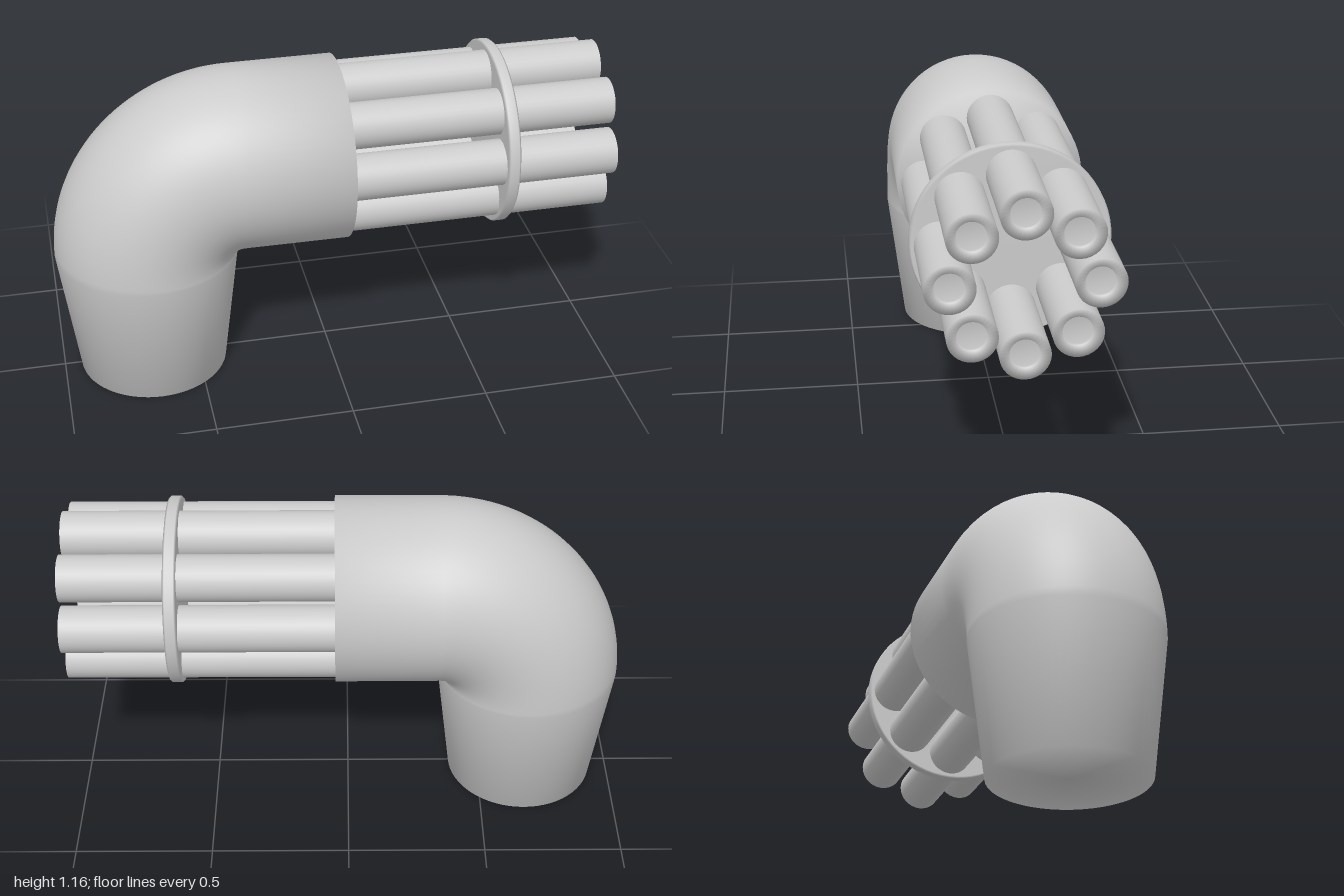
import * as THREE from 'three';

const material = new THREE.MeshStandardMaterial({ color: 0xcccccc });
const AXIS_Y = 0.825; // height of the barrel axis
const ARM_R = 0.335;
const ARM_END = 0.046;

function named(name, geometry) {
  const mesh = new THREE.Mesh(geometry, material);
  mesh.name = name;
  return mesh;
}

// Lathe turned to lie along +x; profile given as [radius, x]
function latheX(profile, segments) {
  const points = profile.map(([r, x]) => new THREE.Vector2(r, x));
  return new THREE.LatheGeometry(points, segments).rotateZ(-Math.PI / 2);
}

// Bent arm: round cross-sections swept from the tapered foot through a 90 degree elbow,
// closed at both ends with softly shaded caps
function armGeometry() {
  const sides = 64, bendSteps = 32;
  const pivot = new THREE.Vector2(-0.33, AXIS_Y - ARM_R);
  const rings = [];
  const addRing = (x, y, r, angle) => rings.push({ x, y, r, nx: -Math.cos(angle), ny: Math.sin(angle) });
  addRing(-0.664, 0, 0, 0);
  addRing(-0.664, 0, 0.273, 0);
  for (let i = 0; i <= bendSteps; i++) {
    const a = (i / bendSteps) * Math.PI / 2;
    addRing(pivot.x - ARM_R * Math.cos(a), pivot.y + ARM_R * Math.sin(a), ARM_R - 0.001, a);
  }
  addRing(ARM_END, AXIS_Y, ARM_R, Math.PI / 2);
  addRing(ARM_END, AXIS_Y, 0, Math.PI / 2);

  const positions = [], index = [];
  rings.forEach(({ x, y, r, nx, ny }, i) => {
    for (let j = 0; j < sides; j++) {
      const q = (j / sides) * Math.PI * 2, c = r * Math.cos(q);
      positions.push(x + nx * c, y + ny * c, r * Math.sin(q));
      if (i === rings.length - 1) continue;
      const k = (j + 1) % sides;
      const a = i * sides + j, b = i * sides + k, d = a + sides, e = b + sides;
      index.push(a, b, e, a, e, d);
    }
  });
  const geometry = new THREE.BufferGeometry();
  geometry.setAttribute('position', new THREE.Float32BufferAttribute(positions, 3));
  geometry.setIndex(index);
  geometry.computeVertexNormals();
  return geometry;
}

export function createModel() {
  const model = new THREE.Group();
  model.name = 'multiBarrelArm';
  model.add(named('arm', armGeometry()));

  // Plate that holds the barrels
  const plate = named('barrelPlate', latheX([
    [0, 0.59], [0.33, 0.59], [0.336, 0.597], [0.336, 0.628], [0.33, 0.635], [0, 0.635],
  ], 64));
  plate.position.y = AXIS_Y;
  model.add(plate);

  // Ring of barrels, each with a shallow dished muzzle
  const barrelGeometry = latheX([
    [0.083, 0.03], [0.083, 1], [0.05, 0.985], [0.048, 0.975], [0, 0.975],
  ], 32);
  for (let i = 0; i < 8; i++) {
    const a = (i / 8) * Math.PI * 2;
    const barrel = named('barrel' + (i + 1), barrelGeometry);
    barrel.position.set(0, AXIS_Y + 0.237 * Math.cos(a), 0.237 * Math.sin(a));
    model.add(barrel);
  }
  return model;
}
